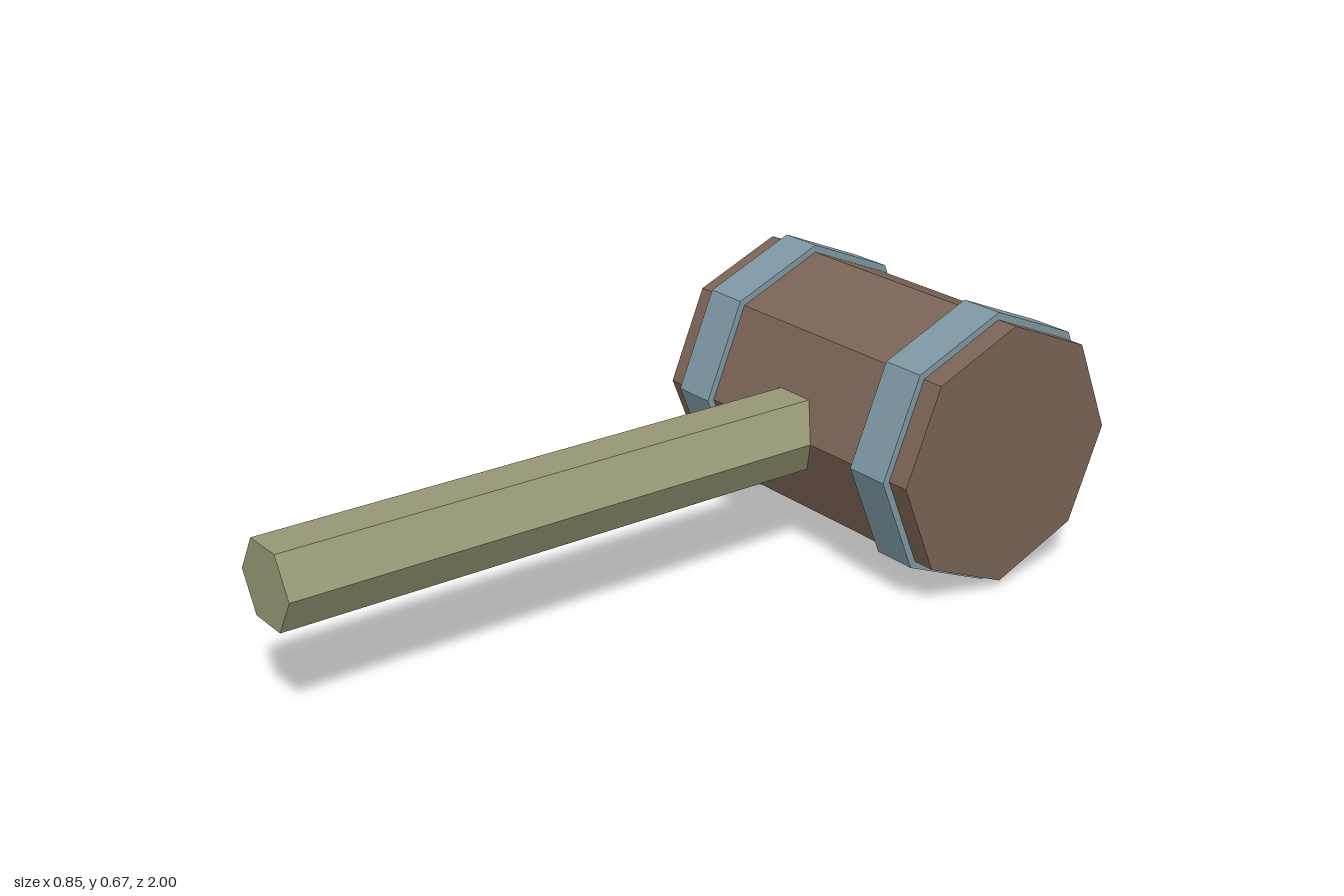
import * as THREE from 'three';

const mat = (name, color) => {
  const m = new THREE.MeshStandardMaterial({ color, flatShading: true });
  m.name = name;
  return m;
};

export function createModel() {
  const group = new THREE.Group();
  group.name = 'mallet';
  const wood = mat('brown wood', 0x7a6355);
  const steel = mat('blue grey metal', 0x7d96a1);
  const pale = mat('pale wood', 0x969674);
  const centreY = 0.333, headZ = -0.667;

  // Octagonal prism lying along x, with corners at top and bottom
  const addOctagon = (name, radius, width, x, material) => {
    const geo = new THREE.CylinderGeometry(radius, radius, width, 8).rotateZ(Math.PI / 2);
    const mesh = new THREE.Mesh(geo, material);
    mesh.name = name;
    mesh.position.set(x, centreY, headZ);
    group.add(mesh);
  };

  // Head and its two bands
  addOctagon('head', 0.315, 0.85, 0, wood);
  addOctagon('leftBand', 0.333, 0.11, 0.315, steel);
  addOctagon('rightBand', 0.333, 0.11, -0.315, steel);

  // Hexagonal handle, flat on top, ending inside the head
  const length = 1.6;
  const handle = new THREE.Mesh(
    new THREE.CylinderGeometry(0.101, 0.101, length, 6).rotateY(Math.PI / 6).rotateX(Math.PI / 2),
    pale
  );
  handle.name = 'handle';
  handle.position.set(0, centreY, 1 - length / 2);
  group.add(handle);

  return group;
}
